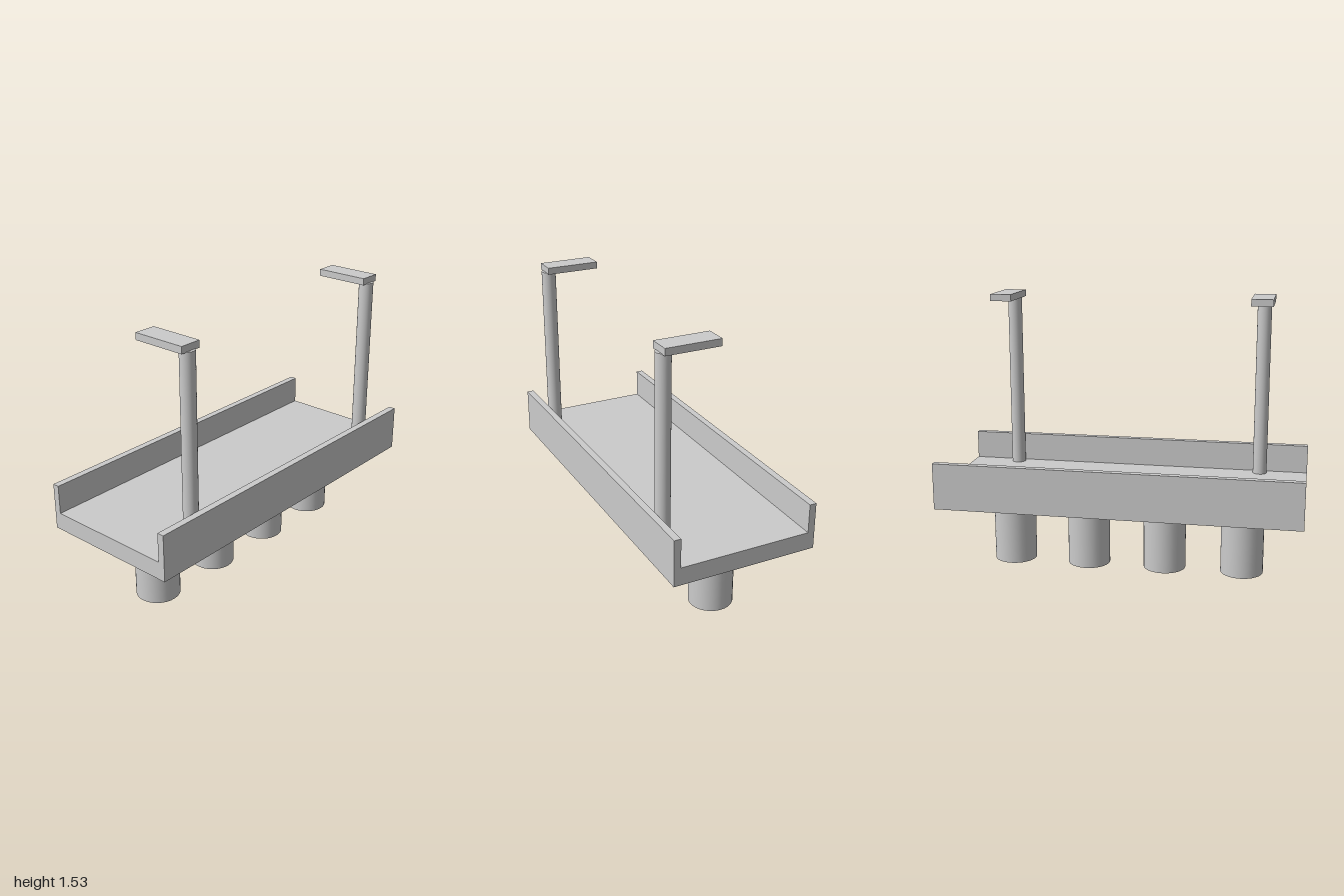
import * as THREE from 'three';

const material = new THREE.MeshStandardMaterial({ color: 0xcccccc });

export function createModel() {
  const model = new THREE.Group();
  model.name = 'bridgeSection';

  const add = (name, geometry, x, y, z, parent = model) => {
    const mesh = new THREE.Mesh(geometry, material);
    mesh.name = name;
    mesh.position.set(x, y, z);
    parent.add(mesh);
  };

  // Deck slab
  const deckBottom = 0.394, deckTop = 0.492;
  add('deck', new THREE.BoxGeometry(2, deckTop - deckBottom, 0.8), 0, (deckBottom + deckTop) / 2, 0);

  // Parapet walls along both long edges
  const wallHeight = 0.16, wallDepth = 0.038;
  const wall = new THREE.BoxGeometry(2, wallHeight, wallDepth);
  for (const side of [1, -1]) {
    add(side > 0 ? 'frontParapet' : 'backParapet', wall, 0, deckTop + wallHeight / 2, side * (0.4 - wallDepth / 2));
  }

  // Round piers in a row under the deck
  const pier = new THREE.CylinderGeometry(0.12, 0.12, deckBottom, 32);
  for (let i = 0; i < 4; i++) add('pier' + (i + 1), pier, -0.66 + i * 0.44, deckBottom / 2, 0);

  // Street lamps: a post with a flat head reaching over the deck
  const post = new THREE.CylinderGeometry(0.04, 0.04, 1, 32);
  const head = new THREE.BoxGeometry(0.12, 0.038, 0.3);
  for (const side of [1, -1]) {
    const lamp = new THREE.Group();
    lamp.name = side > 0 ? 'leftLamp' : 'rightLamp';
    lamp.position.set(side * 0.728, deckTop, 0);
    add('lampPost', post, 0, 0.5, 0.323, lamp);
    add('lampHead', head, 0, 1.016, 0.195, lamp);
    model.add(lamp);
  }

  return model;
}
